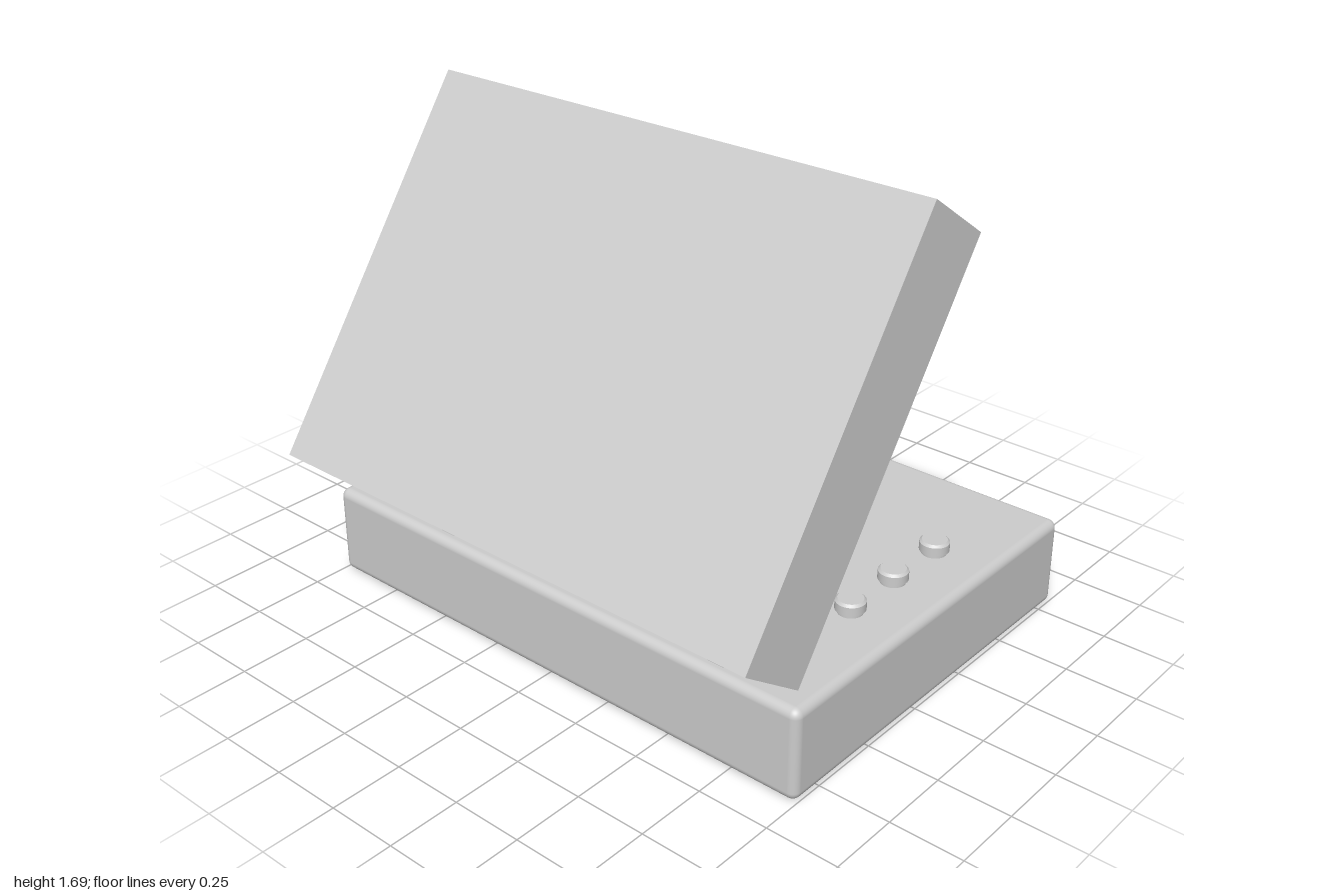
import * as THREE from 'three';
import { RoundedBoxGeometry } from 'three/addons/geometries/RoundedBoxGeometry.js';

const grey = new THREE.MeshStandardMaterial({ color: 0xcccccc });

function add(parent, name, geometry, x = 0, y = 0, z = 0) {
  const mesh = new THREE.Mesh(geometry, grey);
  mesh.name = name;
  mesh.position.set(x, y, z);
  parent.add(mesh);
  return mesh;
}

function group(parent, name, x = 0, y = 0, z = 0) {
  const g = new THREE.Group();
  g.name = name;
  g.position.set(x, y, z);
  parent.add(g);
  return g;
}

const box = (w, h, d) => new THREE.BoxGeometry(w, h, d);
const cylinder = (r, h, rBottom = r) => new THREE.CylinderGeometry(r, rBottom, h, 48);

// Rectangle outline running from y0 to y1, centred on x
function rectangle(Type, halfWidth, y0, y1) {
  return new Type([
    new THREE.Vector2(-halfWidth, y0), new THREE.Vector2(halfWidth, y0),
    new THREE.Vector2(halfWidth, y1), new THREE.Vector2(-halfWidth, y1),
  ]);
}

// Turned control knob with a softened top edge and a narrow foot
function addKnob(parent, name, x, z, r, top) {
  const h = top - DECK;
  const profile = [[0, 0], [r * 0.85, 0], [r * 0.85, 0.012], [r, 0.012], [r, h - 0.008], [r - 0.008, h], [0, h]];
  const points = [];
  for (const [px, py] of profile) {
    const p = new THREE.Vector2(px, py);
    points.push(p, p.clone()); // doubled points keep the edges crisp
  }
  add(parent, name, new THREE.LatheGeometry(points, 32), x, DECK, z);
}

const DECK = 0.32;

function createLid(model) {
  const lid = group(model, 'lid', 0, 0.545, 0.83);
  lid.rotation.x = -0.61;
  const length = 1.397, depth = 0.28, wall = 0.012, half = 0.975;
  const shear = new THREE.Matrix4().makeShear(0, 0, 0, 0, -0.035, 0);

  // Four thin walls around an open back
  const frame = rectangle(THREE.Shape, half, 0, length);
  frame.holes.push(rectangle(THREE.Path, half - wall, wall, length - wall));
  const walls = new THREE.ExtrudeGeometry(frame, { depth: depth - wall, bevelEnabled: false });
  add(lid, 'lidWalls', walls.translate(0, 0, -depth).applyMatrix4(shear));

  // Closed outer panel
  const panel = box(half * 2, length, wall).translate(0, length / 2, -wall / 2);
  add(lid, 'lidPanel', panel.applyMatrix4(shear));
}

function createHinge(model, x) {
  const hinge = group(model, 'hinge', x, 0, 0);
  add(hinge, 'hingeFoot', box(0.06, 0.01, 0.12), 0, 0.325, 0.52);
  add(hinge, 'hingePost', box(0.03, 0.04, 0.015), 0, 0.34, 0.57);
  add(hinge, 'hingePin', cylinder(0.018, 0.07), 0, 0.354, 0.57).rotation.z = Math.PI / 2;
  add(hinge, 'hingeNeck', box(0.03, 0.01, 0.05), 0, 0.372, 0.592).rotation.x = -0.59;
  add(hinge, 'hingeLeaf', box(0.06, 0.01, 0.07), 0, 0.4, 0.628).rotation.x = -0.59;
}

function createTonearm(model) {
  const arm = group(model, 'tonearm', -0.75, 0, 0.33);
  add(arm, 'tonearmPlate', cylinder(0.15, 0.018, 0.16), 0, 0.329, 0);
  add(arm, 'tonearmBase', cylinder(0.075, 0.042, 0.083), 0, 0.358, 0);

  // Swivelling part, turned so the arm reaches along local +x
  const swivel = group(arm, 'swivel', 0, 0.415, 0);
  swivel.rotation.y = Math.atan2(0.29, 0.54);
  add(swivel, 'pivotBlock', box(0.06, 0.045, 0.06), 0, -0.02, 0);
  add(swivel, 'pivotPost', cylinder(0.015, 0.09), 0, 0.03, 0);
  add(swivel, 'postCap', cylinder(0.025, 0.015), 0, 0.073, 0);
  add(swivel, 'armTube', cylinder(0.008, 0.67), 0.28, 0, 0).rotation.z = Math.PI / 2;
  add(swivel, 'counterweight', cylinder(0.033, 0.055), -0.075, 0, 0).rotation.z = Math.PI / 2;

  // Headshell angled inward at the end of the arm
  const head = group(swivel, 'headshell', 0.605, 0, 0);
  head.rotation.y = 0.29;
  add(head, 'headshellCollar', box(0.09, 0.02, 0.03), 0.045, 0, 0);
  add(head, 'cartridge', box(0.07, 0.018, 0.045), 0.115, -0.006, 0);
}

export function createModel() {
  const model = new THREE.Group();
  model.name = 'recordPlayer';

  add(model, 'body', new RoundedBoxGeometry(2, DECK, 1.45, 5, 0.03), 0, DECK / 2, -0.105);

  // Platter, raised on a hub
  const platter = group(model, 'platter', -0.008, 0, -0.138);
  add(platter, 'platterHub', cylinder(0.5, 0.02), 0, 0.328, 0);
  add(platter, 'platterDisc', new THREE.CylinderGeometry(0.565, 0.565, 0.018, 96), 0, 0.342, 0);
  add(platter, 'spindle', cylinder(0.021, 0.04), 0, 0.37, 0);

  for (const z of [0.09, -0.14, -0.375]) addKnob(model, 'controlKnob', 0.8, z, 0.05, 0.37);
  addKnob(model, 'speedKnob', -0.752, -0.593, 0.04, 0.4);

  createTonearm(model);
  for (const x of [-0.487, 0.667]) createHinge(model, x);
  createLid(model);
  return model;
}
